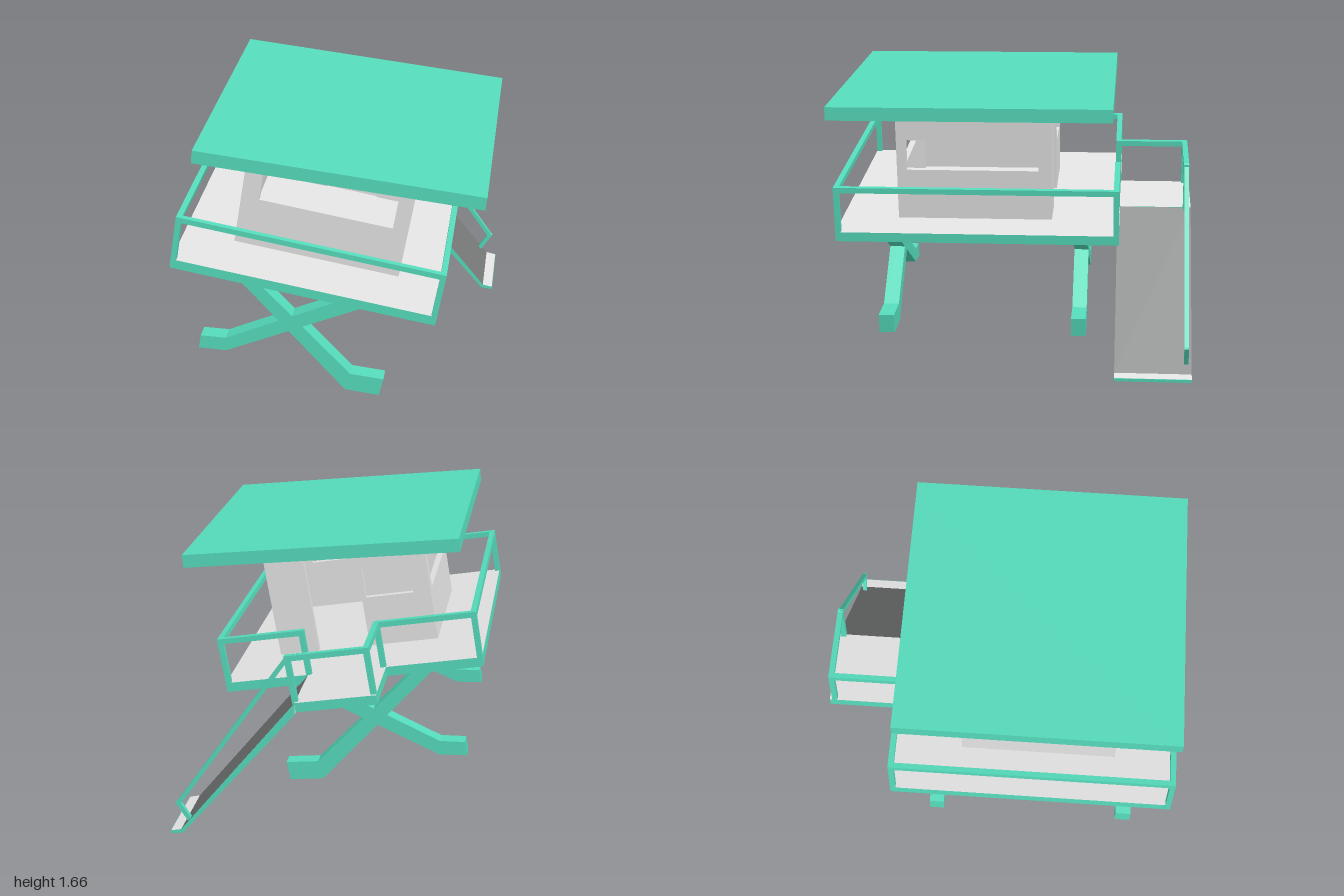
import * as THREE from 'three';

const mat = (name, color) => {
  const m = new THREE.MeshStandardMaterial({ color });
  m.name = name;
  return m;
};

export function createModel() {
  const green = mat('sea green paint', 0x55dbbb);
  const grey = mat('light grey boards', 0xe3e3e3);
  const dark = mat('dark grey ramp boards', 0x787a7a);

  const model = new THREE.Group();
  model.name = 'leaningBeachTower';

  const outline = (pts) => new THREE.Shape(pts.map(([x, y]) => new THREE.Vector2(x, y)));
  const rect = (x0, y0, x1, y1) => [[x0, y0], [x1, y0], [x1, y1], [x0, y1]];

  function add(parent, name, geometry, material) {
    const mesh = new THREE.Mesh(geometry, material);
    mesh.name = name;
    parent.add(mesh);
    return mesh;
  }

  // A side outline in the xy plane, extruded from z0 to z1
  function prism(parent, name, pts, z0, z1, material, holes = []) {
    const shape = outline(pts);
    shape.holes = holes.map(outline);
    const g = new THREE.ExtrudeGeometry(shape, { depth: z1 - z0, bevelEnabled: false });
    return add(parent, name, g.translate(0, 0, z0), material);
  }

  // A floor plan of [x, z] points, extruded upward from y0 to y1
  function slab(parent, name, plan, y0, y1, material) {
    const shape = outline(plan.map(([x, z]) => [x, -z]));
    const g = new THREE.ExtrudeGeometry(shape, { depth: y1 - y0, bevelEnabled: false });
    return add(parent, name, g.rotateX(-Math.PI / 2).translate(0, y0, 0), material);
  }

  // A square bar between two points, in its parent's own frame
  function bar(parent, name, a, b, w) {
    const from = new THREE.Vector3(...a), to = new THREE.Vector3(...b);
    const up = a[2] === b[2] ? new THREE.Vector3(0, 0, 1) : new THREE.Vector3(0, 1, 0);
    const mesh = add(parent, name, new THREE.BoxGeometry(w, w, from.distanceTo(to) + w), green);
    mesh.quaternion.setFromRotationMatrix(new THREE.Matrix4().lookAt(to, from, up));
    mesh.position.copy(from).lerp(to, 0.5);
  }

  // Everything on the platform leans together; its origin is the hut's lower corner
  const deck = new THREE.Group();
  deck.name = 'platform';
  deck.position.set(-0.56, 0.95, 0);
  deck.rotation.z = -0.168;
  model.add(deck);

  // Platform with a landing at the back for the ramp
  const plan = [[-0.282, 1], [1.18, 1], [1.18, -0.59], [0.7, -0.59], [0.7, -1],
    [0.254, -1], [0.254, -0.59], [-0.282, -0.59]];
  slab(deck, 'platformFloor', plan, -0.048, 0.006, [grey, green]);

  // Railing: bars along the edge, with a post at every corner
  const top = 0.255, w = 0.031;
  const railPath = [[0.7, -0.97], [0.27, -0.97], [0.27, -0.575], [-0.27, -0.575], [-0.27, 0.984],
    [1.165, 0.984], [1.165, -0.575], [0.695, -0.575]];
  railPath.forEach(([x, z], i) => {
    bar(deck, 'railPost', [x, -0.02, z], [x, top, z], w);
    if (i > 0) {
      const [px, pz] = railPath[i - 1];
      bar(deck, 'topRail', [px, top, pz], [x, top, z], w);
    }
  });

  // Hut walls, with a window band all round and a door at the back
  const hut = new THREE.Group();
  hut.name = 'hut';
  deck.add(hut);
  const W = 0.934, T = 0.035, back = -0.205, front = 0.675;
  const lowTop = 0.64, highTop = 0.695, sill = 0.297, head = 0.473;
  prism(hut, 'frontWall', [[0, 0], [W, 0], [W, highTop], [0, lowTop]], front - T, front, grey,
    [rect(0.1, sill, 0.848, head)]);
  prism(hut, 'backWall', [[0, 0], [0.4, 0], [0.4, 0.55], [0.702, 0.55], [0.702, 0],
    [W, 0], [W, highTop], [0, lowTop]], back, back + T, grey, [rect(0.1, sill, 0.375, head)]);
  for (const [name, x, h] of [['rightWall', 0, lowTop], ['leftWall', W - T, highTop]]) {
    const wall = prism(hut, name, rect(-front + T, 0, -back - T, h), 0, T, grey,
      [rect(-0.62, sill, 0.13, head)]);
    wall.rotation.y = Math.PI / 2;
    wall.position.x = x;
  }

  // Flat sloping roof with a grey underside
  const roof = add(model, 'roof', new THREE.BoxGeometry(1.542, 0.074, 1.55),
    [green, green, green, grey, green, green]);
  roof.position.set(0.0715, 1.541, 0.22);
  roof.rotation.z = -0.108;

  // Two crossed leg frames, each under a tapered beam
  for (const [z0, z1] of [[0.725, 0.815], [-0.4, -0.315]]) {
    prism(deck, 'underBeam', [[-0.256, -0.042], [-0.1, -0.119], [0.923, -0.119], [1.175, -0.045]],
      z0, z1, green);
    prism(model, 'crossLeg', [[-0.55, 0.835], [-0.44, 0.82], [0.11, 0.22], [0.3, 0.2],
      [0.275, 0.09], [0.08, 0.112]], z0, z1, green);
    prism(model, 'crossLeg', [[-0.745, 0.403], [-0.6, 0.4], [0.13, 0.735], [0.27, 0.705],
      [-0.6, 0.315], [-0.76, 0.32]], z0, z1, green);
  }

  // Ramp: pale underneath, dark walking surface, flat toe on the ground
  prism(model, 'ramp', [[0.13, 0.836], [0.783, 0.029], [0.775, 0.01], [0.13, 0.77]],
    -1, -0.575, [green, grey]);
  prism(model, 'rampSurface', [[0.13, 0.838], [0.785, 0.031], [0.783, 0.029], [0.13, 0.836]],
    -1, -0.575, [green, dark]);
  prism(model, 'rampToe', [[0.785, 0.031], [0.843, 0.019], [0.84, 0], [0.775, 0.01]],
    -1, -0.575, [green, grey]);
  prism(model, 'rampToeEdge', [[0.843, 0.019], [0.845, 0.018], [0.842, 0], [0.84, 0]],
    -1, -0.575, green);

  // Ramp handrail
  bar(model, 'rampHandrail', [0.173, 1.085, -0.97], [0.8, 0.182, -0.97], 0.025);
  bar(model, 'rampRailPost', [0.8, 0.182, -0.97], [0.742, 0.09, -0.97], 0.025);

  return model;
}
